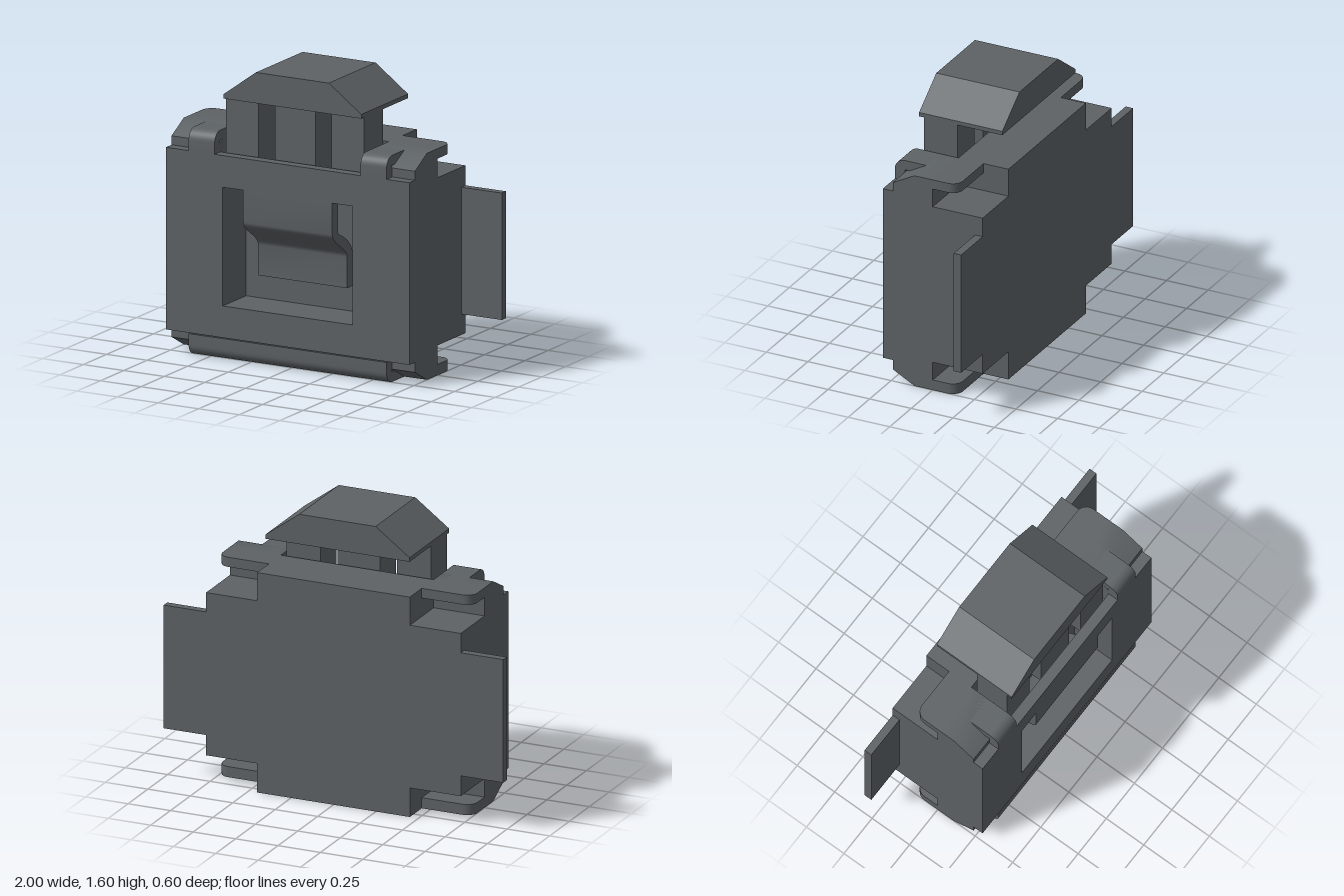
import * as THREE from 'three';
import { toCreasedNormals } from 'three/addons/utils/BufferGeometryUtils.js';

const H = 1.25; // housing height

export function createModel() {
  const model = new THREE.Group();
  model.name = 'latchSwitch';
  const grey = new THREE.MeshStandardMaterial({ color: 0x5d6265 });
  grey.name = 'slateGrey';

  const add = (name, geo, parent = model) => {
    const mesh = new THREE.Mesh(geo, grey);
    mesh.name = name;
    parent.add(mesh);
    return mesh;
  };
  const box = (name, x0, x1, y0, y1, z0, z1, parent) =>
    add(name, new THREE.BoxGeometry(x1 - x0, y1 - y0, z1 - z0)
      .translate((x0 + x1) / 2, (y0 + y1) / 2, (z0 + z1) / 2), parent);
  const shapeOf = (pts) => new THREE.Shape(pts.map(([a, b]) => new THREE.Vector2(a, b)));
  const extrude = (shape, depth) =>
    new THREE.ExtrudeGeometry(shape, { depth, bevelEnabled: false });
  // Profile of [z, y] points swept from x0 to x1
  const sweepX = (name, pts, x0, x1, parent) =>
    add(name, toCreasedNormals(extrude(shapeOf(pts), x1 - x0)
      .rotateY(-Math.PI / 2).translate(x1, 0, 0), 0.6), parent);
  const arc = (cx, cy, r, a0, a1, n = 8) => Array.from({ length: n + 1 }, (_, i) => {
    const a = a0 + (a1 - a0) * i / n;
    return [cx + r * Math.cos(a), cy + r * Math.sin(a)];
  });
  const flipY = (pts) => pts.map(([z, y]) => [z, H - y]);

  // Housing core: full-height back, window floor and jambs
  const core = new THREE.Group();
  core.name = 'housingCore';
  model.add(core);
  box('coreBack', -0.45, 0.45, 0, H, -0.3, 0, core);
  sweepX('coreFloor', [[0, 0], [0.11, 0], [0.24, 0.07], [0.24, 0.3], [0.05, 0.3],
    [0.05, 1], [0, 1]], -0.45, 0.45, core);

  // Chamfered side blocks, notched at the back corners
  const side = [[0.24, 0.07], [0.24, 1.18], [0.11, H], [0, H], [0, 1.09], [-0.3, 1.09],
    [-0.3, 0.165], [0, 0.165], [0, 0], [0.11, 0]];
  // Folded strap that wraps the front edge
  const strap = [[0.3, 1.13], ...arc(0.24, 1.19, 0.06, 0, Math.PI / 2), [0.05, H],
    [0.05, 1.195], [0.24, 1.195], [0.24, 1.13]];
  // Rounded ear over each back notch, as [x, z]
  const ear = [[0.45, 0], [0.45, -0.15], ...arc(0.69, -0.09, 0.06, -Math.PI / 2, 0), [0.75, 0]];

  for (const s of [-1, 1]) {
    const span = (a, b) => (s > 0 ? [a, b] : [-b, -a]);
    sweepX('sideBlock', side, ...span(0.45, 0.75), core);
    box('windowJamb', ...span(0.4, 0.45), 0.3, 1, 0.05, 0.24, core);
    sweepX('topStrap', strap, ...span(0.45, 0.61));
    box('mountingTab', ...span(0.75, 1), 0.28, 0.98, -0.3, -0.255);
    for (const [name, top] of [['topEar', H], ['bottomEar', 0.06]]) {
      const geo = extrude(shapeOf(ear.map(([x, z]) => [s * x, z])), top === H ? 0.055 : 0.06)
        .rotateX(Math.PI / 2).translate(0, top, 0);
      add(name, toCreasedNormals(geo, 0.6));
    }
  }
  sweepX('bottomStrap', flipY(strap), -0.61, 0.61);

  // Front plate with its window
  const plate = shapeOf([[-0.75, 0.125], [0.75, 0.125], [0.75, 1.13], [-0.75, 1.13]]);
  plate.holes.push(new THREE.Path([[-0.4, 0.3], [-0.4, 0.955], [0.4, 0.955], [0.4, 0.3]]
    .map(([x, y]) => new THREE.Vector2(x, y))));
  add('frontPlate', extrude(plate, 0.06).translate(0, 0, 0.24));

  // Spring tongue: flush at the top, stepping inwards to its lower end
  const front = [[0.3, 0.955]];
  const back = [[0.24, 0.955]];
  for (let i = 0; i <= 14; i++) {
    const t = i / 14;
    const ease = t * t * (3 - 2 * t);
    const z = 0.3 - 0.16 * ease;
    front.push([z, 0.78 - 0.16 * t]);
    back.push([z - 0.06, 0.78 - 0.16 * t + 0.03 * Math.sin(Math.PI * t)]);
  }
  front.push([0.14, 0.45]);
  back.push([0.08, 0.45]);
  sweepX('springTongue', [...front, ...back.reverse()], -0.275, 0.275);

  // Push button: bevelled cap on three stems
  const button = new THREE.Group();
  button.name = 'pushButton';
  model.add(button);
  add('buttonCap', extrude(shapeOf([[-0.425, 1.43], [0.425, 1.43], [0.425, 1.453],
    [0.225, 1.6], [-0.225, 1.6], [-0.425, 1.453]]), 0.5).translate(0, 0, -0.25), button);
  for (const [x0, x1] of [[-0.425, -0.225], [-0.125, 0.125], [0.225, 0.425]])
    box('buttonStem', x0, x1, 1, 1.43, 0.02, 0.22, button);

  return model;
}
